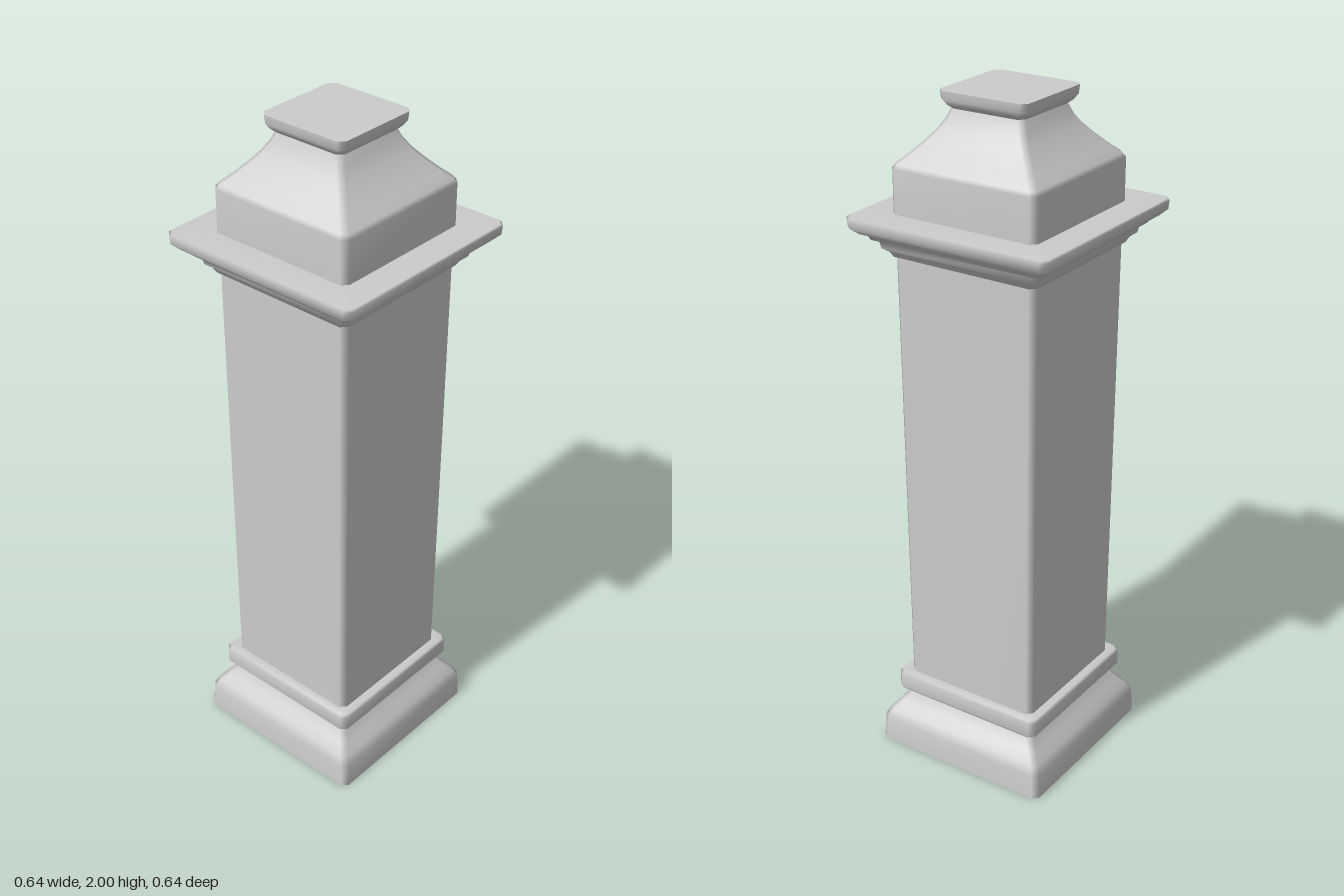
import * as THREE from 'three';

const material = new THREE.MeshStandardMaterial({ color: 0xcccccc, side: THREE.DoubleSide });

// Square ring with cut corners, half width w, counter-clockwise seen from above
function ring(w, cut) {
  const a = w - cut;
  return [[w, a], [w, -a], [a, -w], [-a, -w], [-w, -a], [-w, a], [-a, w], [a, w]];
}

// Skin a stack of rings from a profile of [half width, height], bottom to top
function squareLathe(name, profile, cut = 0.017) {
  const positions = [], index = [];
  profile.forEach(([w, y], j) => {
    ring(w, cut).forEach(([x, z], i) => {
      positions.push(x, y, z);
      if (j === 0) return;
      const b = j * 8 + i, bn = j * 8 + (i + 1) % 8;
      const a = b - 8, an = bn - 8;
      index.push(a, an, bn, a, bn, b);
    });
  });
  const geometry = new THREE.BufferGeometry();
  geometry.setAttribute('position', new THREE.Float32BufferAttribute(positions, 3));
  geometry.setIndex(index);
  geometry.computeVertexNormals();
  const mesh = new THREE.Mesh(geometry, material);
  mesh.name = name;
  return mesh;
}

export function createModel() {
  const pillar = new THREE.Group();
  pillar.name = 'pillar';

  // Flared foot, open underneath
  pillar.add(squareLathe('base', [
    [0.283, 0], [0.28, 0.075], [0.268, 0.1], [0.245, 0.128], [0.228, 0.152], [0.22, 0.172],
  ]));

  // Band around the bottom of the shaft
  pillar.add(squareLathe('collar', [
    [0.22, 0.172], [0.238, 0.172], [0.246, 0.182], [0.246, 0.225], [0.24, 0.233], [0.217, 0.233],
  ]));

  // Long shaft, slightly wider at the top
  pillar.add(squareLathe('shaft', [[0.217, 0.233], [0.226, 1.555]]));

  // Stepped moulding with a flat ledge on top
  pillar.add(squareLathe('cornice', [
    [0.226, 1.555], [0.235, 1.558], [0.243, 1.573], [0.258, 1.584], [0.262, 1.604],
    [0.278, 1.61], [0.285, 1.625], [0.3, 1.628], [0.318, 1.645], [0.32, 1.67],
    [0.315, 1.675], [0.23, 1.675],
  ], 0.019));

  // Concave crown rising to a small lip
  pillar.add(squareLathe('crown', [
    [0.23, 1.675], [0.23, 1.798], [0.223, 1.81], [0.2, 1.832], [0.172, 1.862],
    [0.145, 1.895], [0.127, 1.925], [0.116, 1.952],
  ]));
  pillar.add(squareLathe('lip', [[0.116, 1.952], [0.127, 1.962], [0.136, 1.976], [0.138, 2]]));

  // Flat lid closing the top
  const outline = ring(0.138, 0.017).map(([x, z]) => new THREE.Vector2(x, -z));
  const lid = new THREE.Mesh(new THREE.ShapeGeometry(new THREE.Shape(outline)), material);
  lid.name = 'lid';
  lid.rotation.x = -Math.PI / 2;
  lid.position.y = 2;
  pillar.add(lid);

  return pillar;
}
